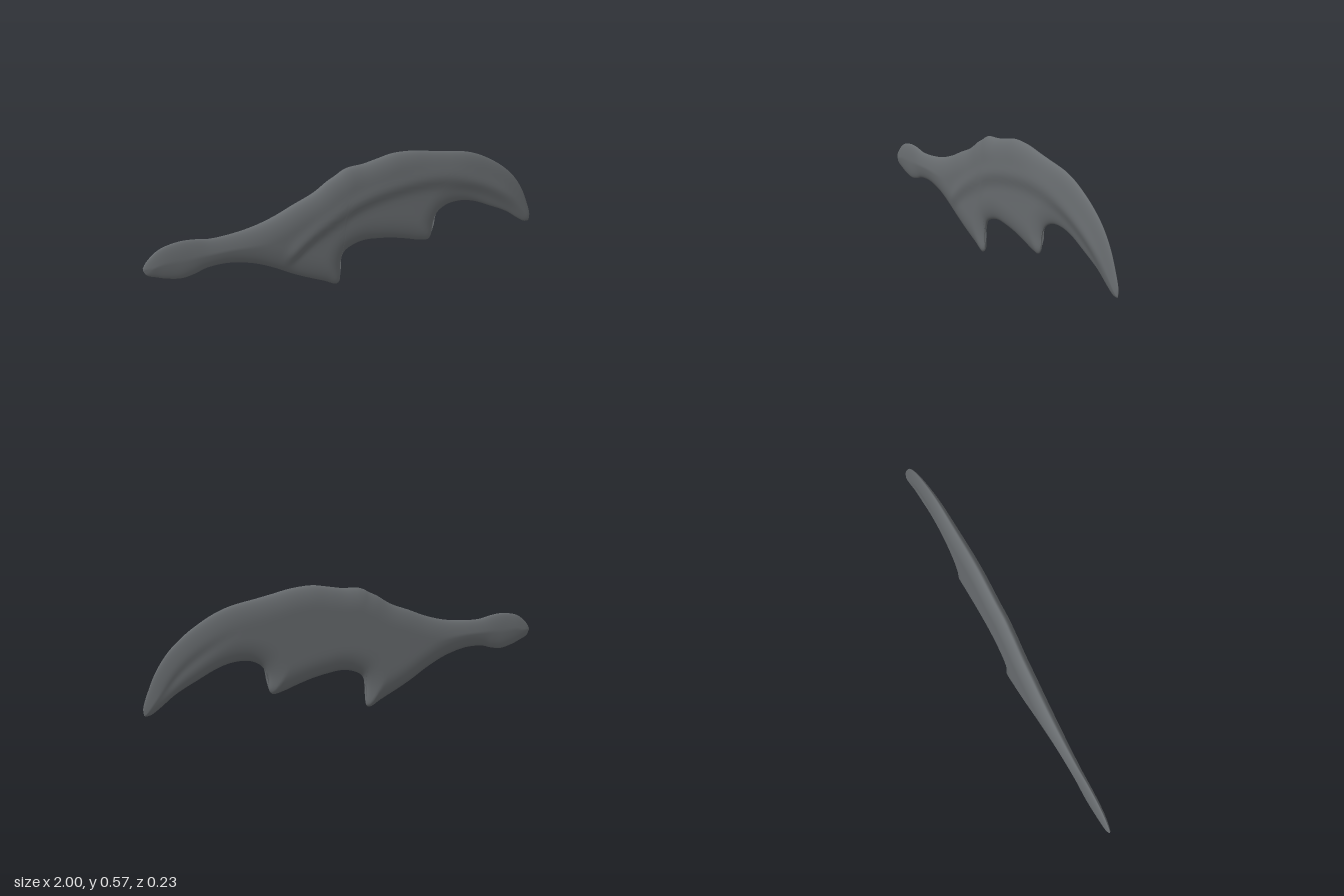
import * as THREE from 'three';

// Matching stations along the upper and lower edges (x, y), root to tip.
const TOP = [-1, .295, -.985, .318, -.94, .355, -.9, .37, -.83, .378, -.77, .373, -.7, .36,
  -.6, .36, -.49, .372, -.39, .397, -.3, .43, -.2, .465, -.13, .505, -.085, .525, -.06, .538,
  -.03, .547, 0, .549, .05, .55, .12, .56, .2, .571, .27, .568, .33, .56, .4, .545, .45, .535,
  .49, .527, .54, .518, .6, .505, .67, .48, .74, .443, .81, .397, .88, .335, .935, .26,
  .972, .18, .995, .11, .992, .08];
const BOTTOM = [-1, .285, -.985, .26, -.94, .24, -.9, .225, -.83, .21, -.77, .217, -.72, .23,
  -.62, .23, -.5, .2, -.4, .155, -.32, .11, -.25, .075, -.15, .03, -.09, .002, -.073, .015,
  -.07, .1, -.05, .15, 0, .175, .06, .183, .13, .175, .2, .162, .28, .14, .35, .118, .4, .11,
  .418, .13, .425, .19, .45, .235, .5, .262, .57, .267, .65, .25, .75, .205, .85, .155,
  .92, .105, .96, .08, .985, .075];
// Raised finger bone on the front, and half thickness along x.
const RIDGE = [[-.4, .18], [-.33, .22], [-.2, .3], [0, .385], [.2, .42], [.4, .42], [.6, .375], [.8, .27], [.95, .13]];
const THICKNESS = [[-1, .017], [-.8, .021], [-.6, .029], [-.4, .034], [0, .034], [.4, .031], [.8, .021], [1, .014]];

const COLUMNS = 170, ROWS = 30;

function edge(values) {
  const points = [];
  for (let i = 0; i < values.length; i += 2) points.push(new THREE.Vector3(values[i], values[i + 1], 0));
  return new THREE.CatmullRomCurve3(points).getPoints(COLUMNS);
}

// Smooth interpolation through [x, value] pairs
function lookup(table, x) {
  const n = table.length - 1;
  let i = 0;
  while (i < n - 1 && x > table[i + 1][0]) i++;
  const t = THREE.MathUtils.clamp((x - table[i][0]) / (table[i + 1][0] - table[i][0]), 0, 1);
  const slope = k => {
    const a = table[Math.max(k - 1, 0)], b = table[Math.min(k + 1, n)];
    return (b[1] - a[1]) / (b[0] - a[0]) * (table[i + 1][0] - table[i][0]);
  };
  const p = table[i][1], q = table[i + 1][1], t2 = t * t, t3 = t2 * t;
  return p * (2 * t3 - 3 * t2 + 1) + slope(i) * (t3 - 2 * t2 + t) + q * (3 * t2 - 2 * t3) + slope(i + 1) * (t3 - t2);
}

function outlineDistance(outline, x, y) {
  let best = Infinity;
  outline.forEach((a, i) => {
    const b = outline[(i + 1) % outline.length];
    const dx = b.x - a.x, dy = b.y - a.y;
    const t = THREE.MathUtils.clamp(((x - a.x) * dx + (y - a.y) * dy) / (dx * dx + dy * dy || 1), 0, 1);
    best = Math.min(best, Math.hypot(x - a.x - t * dx, y - a.y - t * dy));
  });
  return best;
}

function wingGeometry() {
  const top = edge(TOP), bottom = edge(BOTTOM);
  const outline = [...top, ...[...bottom].reverse()];
  const smooth = THREE.MathUtils.smoothstep;
  const positions = [], indices = [], loop = 2 * ROWS;

  for (let i = 0; i <= COLUMNS; i++) {
    for (let j = 0; j < loop; j++) {
      // Each closed section runs down the front and up the back.
      const p = top[i].clone().lerp(bottom[i], (1 - Math.cos(Math.PI * j / ROWS)) / 2);
      const rim = j % ROWS === 0;
      const d = rim ? 0 : Math.min(outlineDistance(outline, p.x, p.y) / .1, 1);
      const round = Math.pow(1 - (1 - d) ** 2, .58);
      let half = lookup(THICKNESS, p.x);
      const offset = p.y - lookup(RIDGE, p.x);
      const along = smooth(p.x, -.38, -.3) * (1 - smooth(p.x, .8, .97));
      if (j < ROWS) {
        // Bone stands proud of a thinner membrane below it.
        half += along * (.006 * Math.exp(-((offset / .04) ** 2)) - .007 * (1 - smooth(offset, -.07, 0)));
      } else {
        // Shallow groove behind the tip
        half -= .005 * smooth(p.x, .55, .8) * (1 - smooth(p.x, .85, .95)) * Math.exp(-((offset / .03) ** 2));
      }
      const middle = .109 * p.x - .004;
      positions.push(p.x, p.y, middle + (j < ROWS ? 1 : -1) * half * round);

      if (i < COLUMNS) {
        const k = (j + 1) % loop;
        const a = i * loop + j, b = a + loop, c = i * loop + k, e = c + loop;
        indices.push(a, c, b, b, c, e);
      }
    }
  }
  const geometry = new THREE.BufferGeometry();
  geometry.setAttribute('position', new THREE.Float32BufferAttribute(positions, 3));
  geometry.setIndex(indices);
  geometry.computeVertexNormals();
  return geometry;
}

export function createModel() {
  const group = new THREE.Group();
  group.name = 'wing';
  const slateGrey = new THREE.MeshStandardMaterial({ color: 0x686c6f });
  slateGrey.name = 'slateGrey';
  const wing = new THREE.Mesh(wingGeometry(), slateGrey);
  wing.name = 'wingMembrane';
  group.add(wing);
  return group;
}
